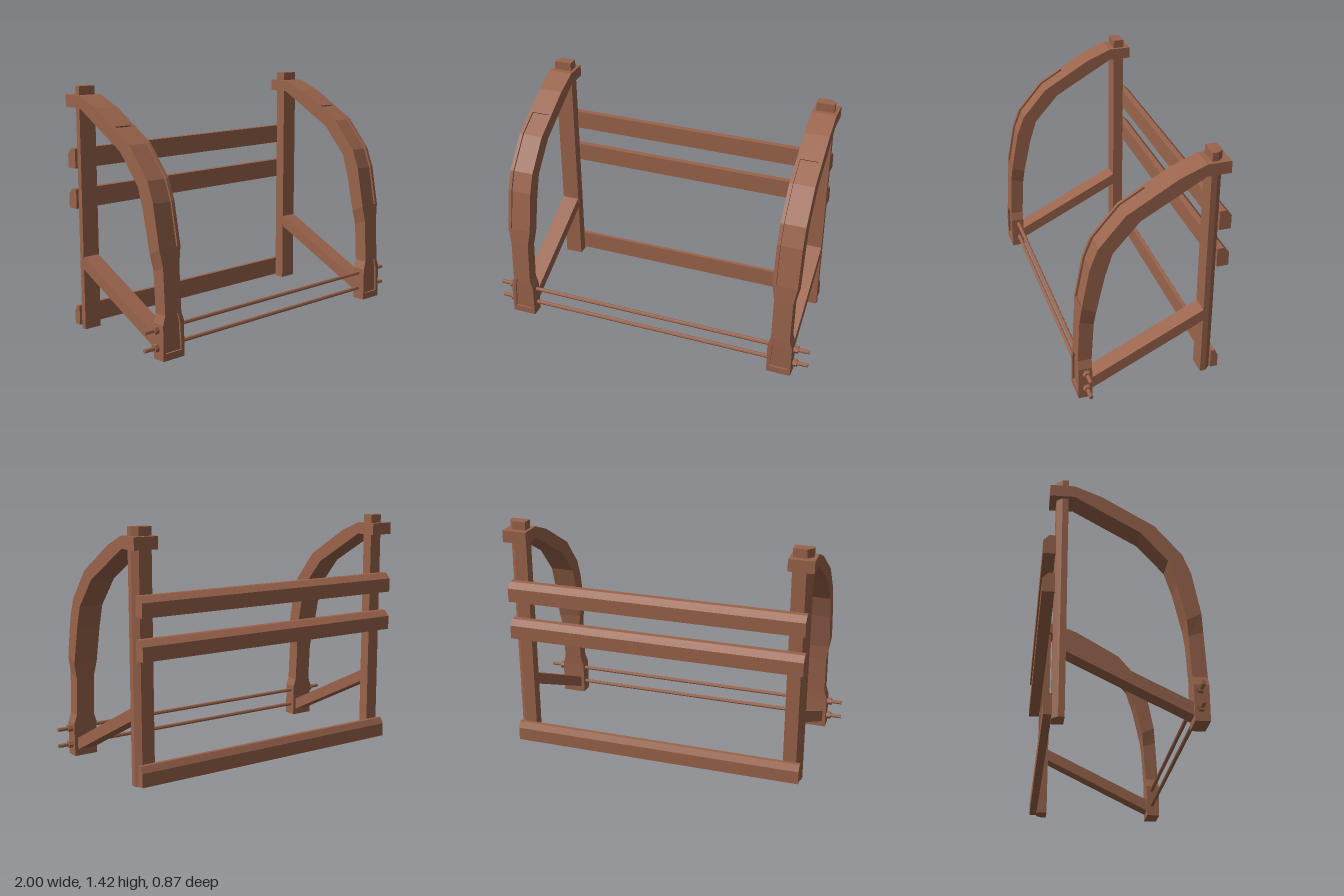
import * as THREE from 'three';

const wood = new THREE.MeshStandardMaterial({ color: 0x9a644c });
wood.name = 'brown';
wood.flatShading = true;

const SIDE_X = 0.835; // centre line of each side frame

function part(name, geometry) {
  const mesh = new THREE.Mesh(geometry, wood);
  mesh.name = name;
  return mesh;
}

// Extrude a (z, y) outline across x, centred on x
function acrossX(points, width, x = 0) {
  const shape = new THREE.Shape(points.map(([z, y]) => new THREE.Vector2(z, y)));
  const g = new THREE.ExtrudeGeometry(shape, { depth: width, bevelEnabled: false });
  return g.rotateY(-Math.PI / 2).translate(x + width / 2, 0, 0);
}

// Arch sections: outer z, y, inner z, y, half width, panel half width, panel depth
const D = 0.012;
const ARCH = [
  [0.435, 0, 0.355, 0, 0.073, 0.055, 0],
  [0.435, 0.04, 0.355, 0.04, 0.073, 0.055, 0],
  [0.435, 0.04, 0.355, 0.04, 0.073, 0.055, D],
  [0.435, 0.2, 0.355, 0.2, 0.073, 0.045, D],
  [0.433, 0.25, 0.353, 0.25, 0.056, 0.035, D],
  [0.433, 0.25, 0.353, 0.25, 0.056, 0.035, 0],
  [0.42, 0.51, 0.34, 0.48, 0.056, 0.053, 0],
  [0.411, 0.61, 0.331, 0.57, 0.073, 0.053, 0],
  [0.411, 0.61, 0.331, 0.57, 0.073, 0.053, D],
  [0.365, 0.85, 0.282, 0.79, 0.073, 0.053, D],
  [0.32, 0.965, 0.24, 0.925, 0.073, 0.053, D],
  [0.17, 1.14, 0.09, 1.095, 0.073, 0.053, D],
  [0.03, 1.222, -0.03, 1.163, 0.073, 0.053, D],
  [0.03, 1.222, -0.03, 1.163, 0.073, 0.053, 0],
  [-0.12, 1.31, -0.17, 1.243, 0.073, 0.053, 0],
  [-0.27, 1.37, -0.27, 1.3, 0.073, 0.053, 0],
  [-0.405, 1.37, -0.405, 1.3, 0.073, 0.053, 0],
];

// Curved beam with sunken panels, skinned from its sections
function archGeometry(cx) {
  const rings = ARCH.map(([oz, oy, iz, iy, w, p, d]) => {
    const outer = new THREE.Vector2(oz, oy);
    const inner = new THREE.Vector2(iz, iy);
    const sunk = outer.clone().add(inner.clone().sub(outer).setLength(d));
    const at = (x, v) => new THREE.Vector3(cx + x, v.y, v.x);
    return [at(-w, outer), at(-p, outer), at(-p, sunk), at(p, sunk),
      at(p, outer), at(w, outer), at(w, inner), at(-w, inner)];
  });
  const points = [];
  const tri = (a, b, c) => {
    if (new THREE.Triangle(a, b, c).getArea() > 1e-7) points.push(a, b, c);
  };
  const quad = (a, b, c, d) => { tri(a, b, c); tri(a, c, d); };
  for (let i = 0; i < rings.length - 1; i++) {
    for (let j = 0; j < 8; j++) {
      const k = (j + 1) % 8;
      quad(rings[i][j], rings[i][k], rings[i + 1][k], rings[i + 1][j]);
    }
  }
  const first = rings[0];
  const last = rings[rings.length - 1];
  quad(first[7], first[6], first[5], first[0]);
  quad(last[0], last[5], last[6], last[7]);
  const g = new THREE.BufferGeometry().setFromPoints(points);
  g.computeVertexNormals();
  return g;
}

// Upright post with its outer back corner cut off
function postGeometry(s) {
  const outline = [[0.78, 0.302], [0.888, 0.302], [0.888, 0.335], [0.858, 0.368], [0.78, 0.368]];
  const shape = new THREE.Shape(outline.map(([x, y]) => new THREE.Vector2(s * x, y)));
  return new THREE.ExtrudeGeometry(shape, { depth: 1.42, bevelEnabled: false }).rotateX(-Math.PI / 2);
}

function cylinderX(radius, length, sides, x, y) {
  return new THREE.CylinderGeometry(radius, radius, length, sides)
    .rotateZ(Math.PI / 2).translate(x, y, 0.388);
}

export function createModel() {
  const model = new THREE.Group();
  model.name = 'rackFrame';

  // Side frames
  for (const [s, side] of [[1, 'left'], [-1, 'right']]) {
    const frame = new THREE.Group();
    frame.name = side + 'Frame';
    const brace = [[0.36, 0.035], [0.36, 0.108], [-0.305, 0.437], [-0.305, 0.364]];
    frame.add(
      part('arch', archGeometry(s * SIDE_X)),
      part('post', postGeometry(s)),
      part('brace', acrossX(brace, 0.105, s * SIDE_X)),
    );
    model.add(frame);
  }

  // Back rails with chamfered top edge
  for (const [name, y] of [['upperRail', 0.945], ['middleRail', 0.71]]) {
    model.add(part(name, acrossX([[-0.366, y], [-0.366, y + 0.115], [-0.402, y + 0.115],
      [-0.435, y + 0.082], [-0.435, y]], 1.765)));
  }
  model.add(part('lowerRail', acrossX([[-0.366, 0.012], [-0.366, 0.128], [-0.39, 0.128],
    [-0.41, 0.092], [-0.41, 0.012]], 1.765)));

  // Tie rods with hexagonal nuts
  for (const y of [0.07, 0.17]) {
    model.add(part('tieRod', cylinderX(0.012, 2, 8, 0, y)));
    for (const s of [-1, 1]) {
      model.add(part('nut', cylinderX(0.023, 0.026, 6, s * 0.924, y)));
    }
  }
  return model;
}
